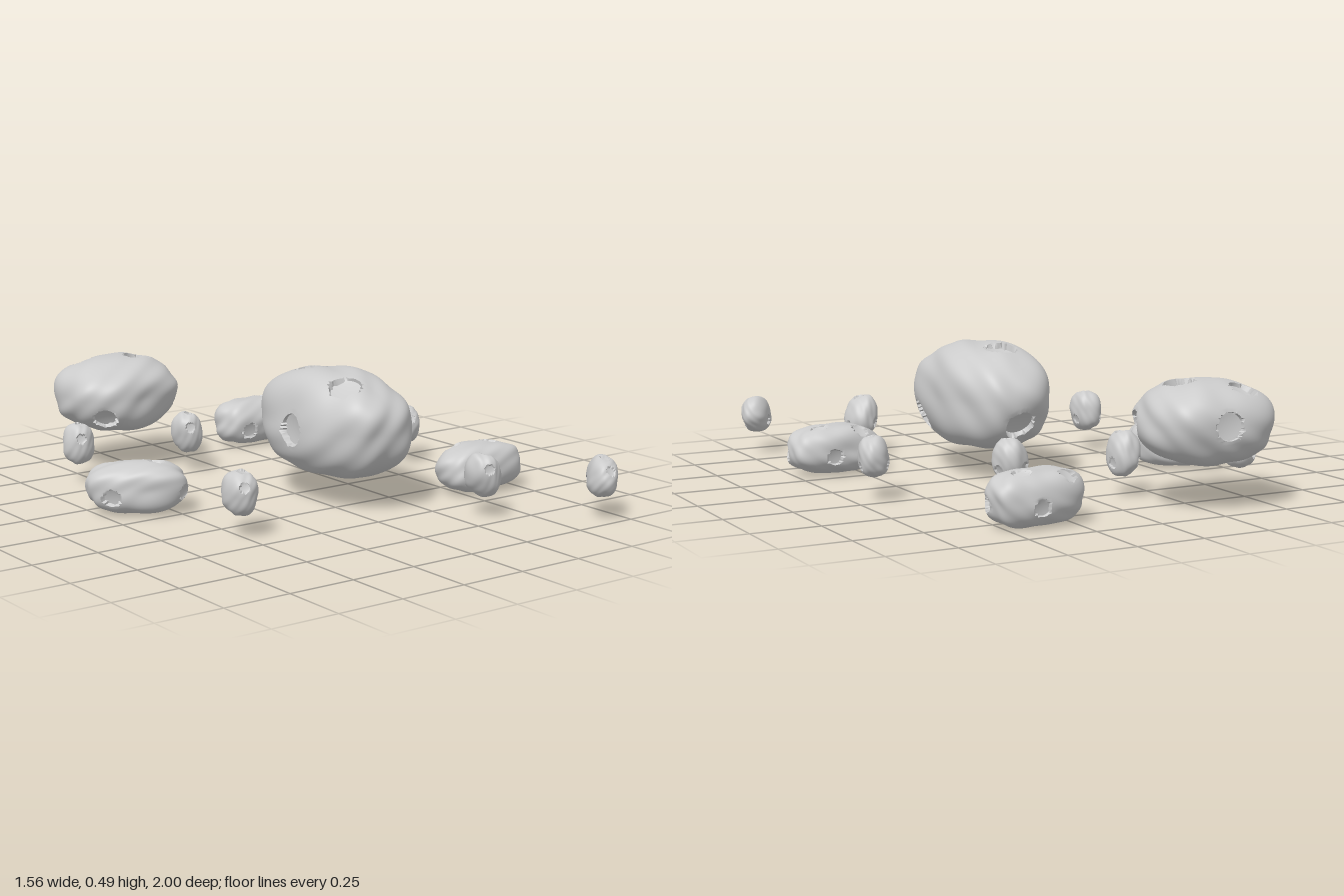
import * as THREE from 'three';
import { toCreasedNormals } from 'three/addons/utils/BufferGeometryUtils.js';

const material = new THREE.MeshStandardMaterial({ color: 0xcccccc });

// One lumpy rounded boulder with round, sharp-rimmed craters.
// craters: [dx, dy, dz, radius], the offset pointing from the rock's centre to the crater.
function rock({ name, at, half, turn = [0, 0, 0], power = 2.4, detail, seed, craters }) {
  const size = new THREE.Vector3(...half);
  const spin = new THREE.Quaternion().setFromEuler(new THREE.Euler(...turn));
  const unspin = spin.clone().invert();

  // Surface point for a unit direction: superellipsoid with soft lumps
  const surface = (u) => {
    const r = Math.pow(
      Math.abs(u.x) ** power + Math.abs(u.y) ** power + Math.abs(u.z) ** power, -1 / power);
    const lumps =
      0.018 * Math.sin(4.1 * u.x + 3.3 * u.y + seed) +
      0.016 * Math.sin(5.3 * u.y - 4.2 * u.z + seed * 2.3) +
      0.014 * Math.sin(7.1 * u.z + 5.7 * u.x + seed * 3.7) +
      0.008 * Math.sin(11 * u.x - 9 * u.y + 8 * u.z + seed * 5.1);
    return u.clone().multiplyScalar(r * (0.985 + lumps)).multiply(size);
  };

  const dents = craters.map(([x, y, z, radius]) => {
    const u = new THREE.Vector3(x, y, z).applyQuaternion(unspin).divide(size).normalize();
    return { centre: surface(u), normal: u.clone().divide(size).normalize(), radius };
  });

  const geometry = new THREE.IcosahedronGeometry(1, detail);
  const pos = geometry.attributes.position;
  const u = new THREE.Vector3();
  for (let i = 0; i < pos.count; i++) {
    u.fromBufferAttribute(pos, i).normalize();
    const p = surface(u);
    for (const { centre, normal, radius } of dents) {
      const offset = p.clone().sub(centre);
      const height = offset.dot(normal);
      const side = offset.addScaledVector(normal, -height);
      const d = side.length() / radius;
      if (d > 1.12 || height < -1.2 * radius) continue;
      // snap to the rim outside, sink to a shallow bowl inside
      if (d >= 1) p.addScaledVector(side, 1 / d - 1);
      else {
        const target = d > 0.85 ? 0.95 : d;
        if (d > 0.85) p.addScaledVector(side, target / d - 1);
        const floor = -radius * (0.5 - 0.1 * target * target);
        p.addScaledVector(normal, Math.min(0, floor - height));
      }
    }
    p.applyQuaternion(spin);
    pos.setXYZ(i, p.x, p.y, p.z);
  }
  // enlarged while creasing so close vertices stay separate
  geometry.scale(100, 100, 100);
  const creased = toCreasedNormals(geometry, 0.7);
  creased.scale(0.01, 0.01, 0.01);

  const mesh = new THREE.Mesh(creased, material);
  mesh.name = name;
  mesh.position.set(...at);
  return mesh;
}

export function createModel() {
  const group = new THREE.Group();
  group.name = 'asteroidField';

  // Two large asteroids
  group.add(rock({
    name: 'largeAsteroidFront', at: [0.085, 0.297, 0.135], half: [0.21, 0.2, 0.34],
    detail: 28, seed: 1.3,
    craters: [
      [-0.02, 0.2, -0.13, 0.062], [-0.085, 0.17, 0.17, 0.06], [0.18, -0.09, 0.15, 0.058],
      [-0.2, -0.01, 0.0, 0.06], [0.0, -0.08, -0.31, 0.058],
    ],
  }));
  group.add(rock({
    name: 'largeAsteroidBack', at: [-0.29, 0.297, -0.795], half: [0.235, 0.145, 0.207],
    power: 2.5, detail: 28, seed: 4.2,
    craters: [
      [-0.1, 0.13, -0.11, 0.05], [0.085, 0.14, 0.02, 0.055], [-0.14, -0.07, 0.15, 0.045],
      [0.21, -0.01, 0.1, 0.05], [0.02, 0.01, -0.2, 0.05],
    ],
  }));

  // Three long medium asteroids: centre, half size, turn about y
  const mediums = [
    [[0.375, 0.1, -0.81], [0.177, 0.095, 0.103], 0.08],
    [[-0.615, 0.1, -0.125], [0.182, 0.093, 0.098], -0.62],
    [[0.595, 0.1, 0.355], [0.177, 0.09, 0.103], 0],
  ];
  mediums.forEach(([at, half, yaw], i) => {
    const c = Math.cos(yaw), s = Math.sin(yaw);
    const dent = (x, y, z, r) => [x * c + z * s, y, -x * s + z * c, r];
    group.add(rock({
      name: 'mediumAsteroid' + (i + 1), at, half, turn: [0, yaw, 0],
      power: 2.7, detail: 20, seed: 2 + i * 1.7,
      craters: [
        dent(-0.09, 0.075, -0.06, 0.032), dent(0.065, 0.088, -0.02, 0.03),
        dent(-0.085, -0.025, 0.09, 0.032), dent(0.15, -0.01, 0.03, 0.03),
        dent(0.03, -0.02, -0.1, 0.03),
      ],
    }));
  });

  // Small fragments: centre, half size, turn
  const smalls = [
    [[-0.565, 0.16, -0.62], [0.057, 0.08, 0.06], [0, 0.3, 0]],
    [[-0.127, 0.16, -0.54], [0.053, 0.083, 0.065], [0.1, 0.2, 0.15]],
    [[0.29, 0.16, -0.48], [0.058, 0.08, 0.06], [0, 0.4, -0.1]],
    [[0.667, 0.157, -0.172], [0.055, 0.075, 0.08], [0.2, -0.35, 0]],
    [[-0.5, 0.16, 0.362], [0.057, 0.08, 0.073], [0.15, 0, 0]],
    [[0.345, 0.16, 0.66], [0.055, 0.085, 0.067], [0.1, 0.4, 0.35]],
    [[0.684, 0.157, 0.915], [0.054, 0.072, 0.09], [0.25, -0.6, 0]],
  ];
  smalls.forEach(([at, half, turn], i) => group.add(rock({
    name: 'smallAsteroid' + (i + 1), at, half, turn,
    power: 2.3, detail: 15, seed: 0.7 + i * 2.1,
    craters: [
      [0.005, 0.075, 0.01, 0.02], [-0.02, 0.03, 0.06, 0.018],
      [0.05, -0.03, -0.01, 0.018], [-0.035, -0.02, -0.045, 0.018],
    ],
  })));

  return group;
}
